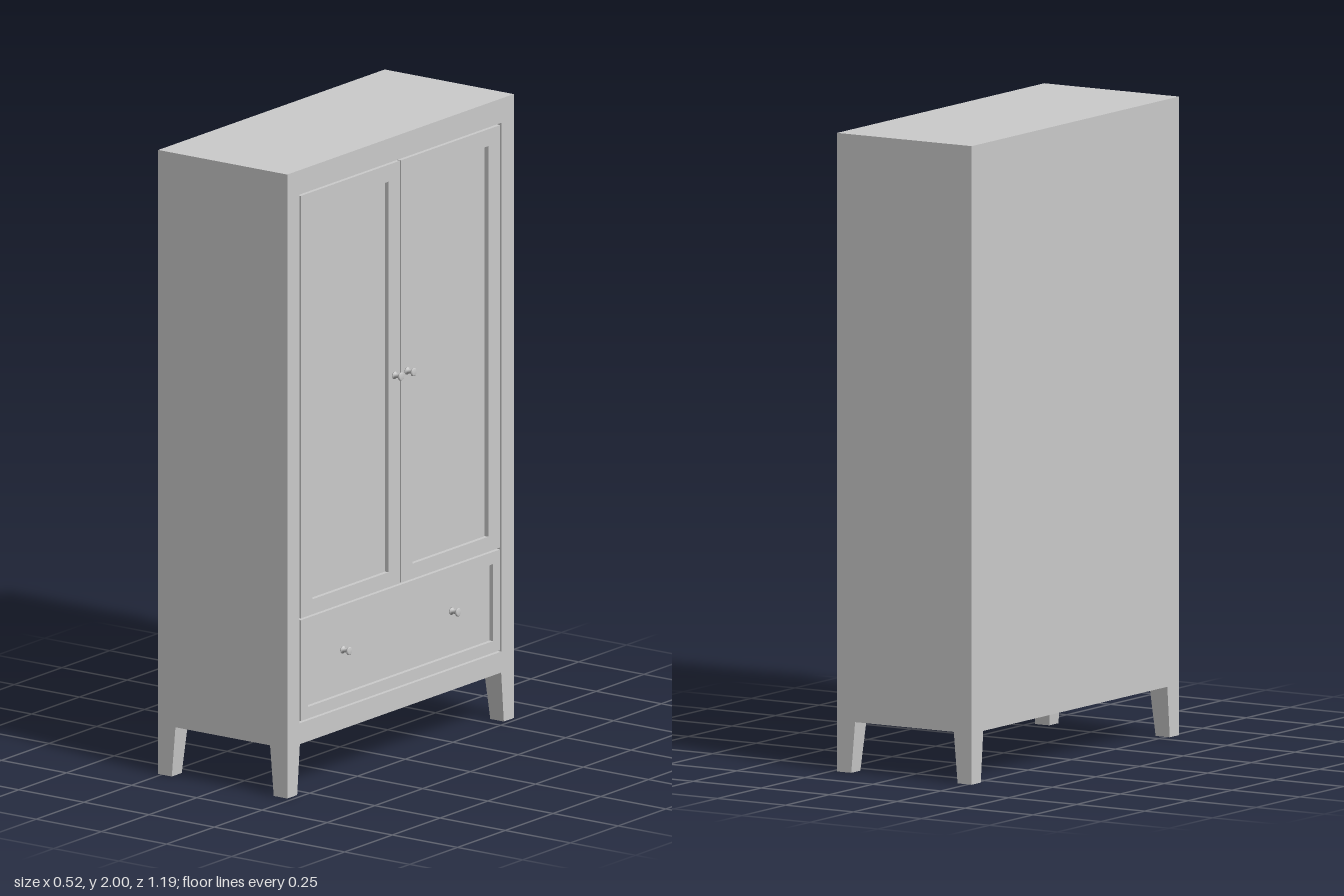
import * as THREE from 'three';

const BACK = -0.263, FRONT = 0.232, HALF = 0.593; // cabinet extents in x and z
const LEG = 0.16, TOP = 2;
const CORE = 0.205;   // front of the solid carcass, behind doors and frame
const PANEL = 0.218;  // face of the recessed panels
const GAP = 0.006;

const material = new THREE.MeshStandardMaterial({ color: 0xcccccc });

function add(parent, name, geometry) {
  const mesh = new THREE.Mesh(geometry, material);
  mesh.name = name;
  parent.add(mesh);
  return mesh;
}

function boxBetween(x0, x1, y0, y1, z0, z1) {
  return new THREE.BoxGeometry(x1 - x0, y1 - y0, z1 - z0)
    .translate((x0 + x1) / 2, (y0 + y1) / 2, (z0 + z1) / 2);
}

function rect(path, a0, a1, y0, y1) {
  path.moveTo(a0, y0);
  path.lineTo(a1, y0);
  path.lineTo(a1, y1);
  path.lineTo(a0, y1);
  path.closePath();
  return path;
}

// Rectangular frame in the z-y plane, from the carcass to the front face.
// Each rectangle is [z0, z1, y0, y1].
function frame([z0, z1, y0, y1], [h0, h1, v0, v1]) {
  const shape = rect(new THREE.Shape(), -z1, -z0, y0, y1);
  shape.holes.push(rect(new THREE.Path(), -h1, -h0, v0, v1));
  return new THREE.ExtrudeGeometry(shape, { depth: FRONT - CORE, bevelEnabled: false })
    .rotateY(Math.PI / 2).translate(CORE, 0, 0);
}

// Framed front with a sunken flat panel
function panelledFront(name, outer, inner) {
  const group = new THREE.Group();
  group.name = name;
  add(group, 'frame', frame(outer, inner));
  add(group, 'panel', boxBetween(CORE, PANEL, inner[2], inner[3], inner[0], inner[1]));
  return group;
}

// Leg with straight outer faces and tapered inner faces
function legGeometry(sx, sz) {
  const cx = (BACK + FRONT) / 2, halfX = (FRONT - BACK) / 2;
  const geometry = new THREE.BoxGeometry(1, 1, 1);
  const p = geometry.attributes.position;
  for (let i = 0; i < p.count; i++) {
    const top = p.getY(i) > 0;
    const outerX = p.getX(i) * sx > 0, outerZ = p.getZ(i) * sz > 0;
    const wide = top ? 0.066 : 0.052;
    p.setXYZ(i,
      cx + sx * (outerX ? halfX : halfX - wide),
      top ? LEG : 0,
      sz * (outerZ ? HALF : HALF - wide));
  }
  geometry.computeVertexNormals();
  return geometry;
}

// Turned knob pointing along +x
const knobGeometry = new THREE.LatheGeometry([
  [0, 0], [0.012, 0], [0.012, 0.003], [0.007, 0.007], [0.007, 0.019],
  [0.013, 0.024], [0.013, 0.028], [0.010, 0.030], [0, 0.030],
].map(([r, h]) => new THREE.Vector2(r, h)), 16).rotateZ(-Math.PI / 2);

export function createModel() {
  const model = new THREE.Group();
  model.name = 'wardrobe';

  // Carcass and front face frame
  add(model, 'carcass', boxBetween(BACK, CORE, LEG, TOP, -HALF, HALF));
  add(model, 'faceFrame', frame([-HALF, HALF, LEG, TOP], [-0.528, 0.528, 0.227, 1.922]));

  // Legs
  for (const sx of [-1, 1]) {
    for (const sz of [-1, 1]) {
      add(model, (sx > 0 ? 'front' : 'back') + 'Leg', legGeometry(sx, sz));
    }
  }

  // Pair of doors with knobs beside the middle gap
  for (const s of [-1, 1]) {
    const span = (a, b) => (s > 0 ? [a, b] : [-b, -a]);
    const door = panelledFront('door',
      [...span(GAP / 2, 0.522), 0.562, 1.916],
      [...span(0.063, 0.46), 0.61, 1.862]);
    add(door, 'doorKnob', knobGeometry).position.set(FRONT, 1.235, s * 0.033);
    model.add(door);
  }

  // Drawer with two knobs on its sunken panel
  const drawer = panelledFront('drawer',
    [-0.522, 0.522, 0.233, 0.556], [-0.485, 0.485, 0.27, 0.517]);
  for (const s of [-1, 1]) {
    add(drawer, 'drawerKnob', knobGeometry).position.set(PANEL, 0.408, s * 0.285);
  }
  model.add(drawer);

  return model;
}
